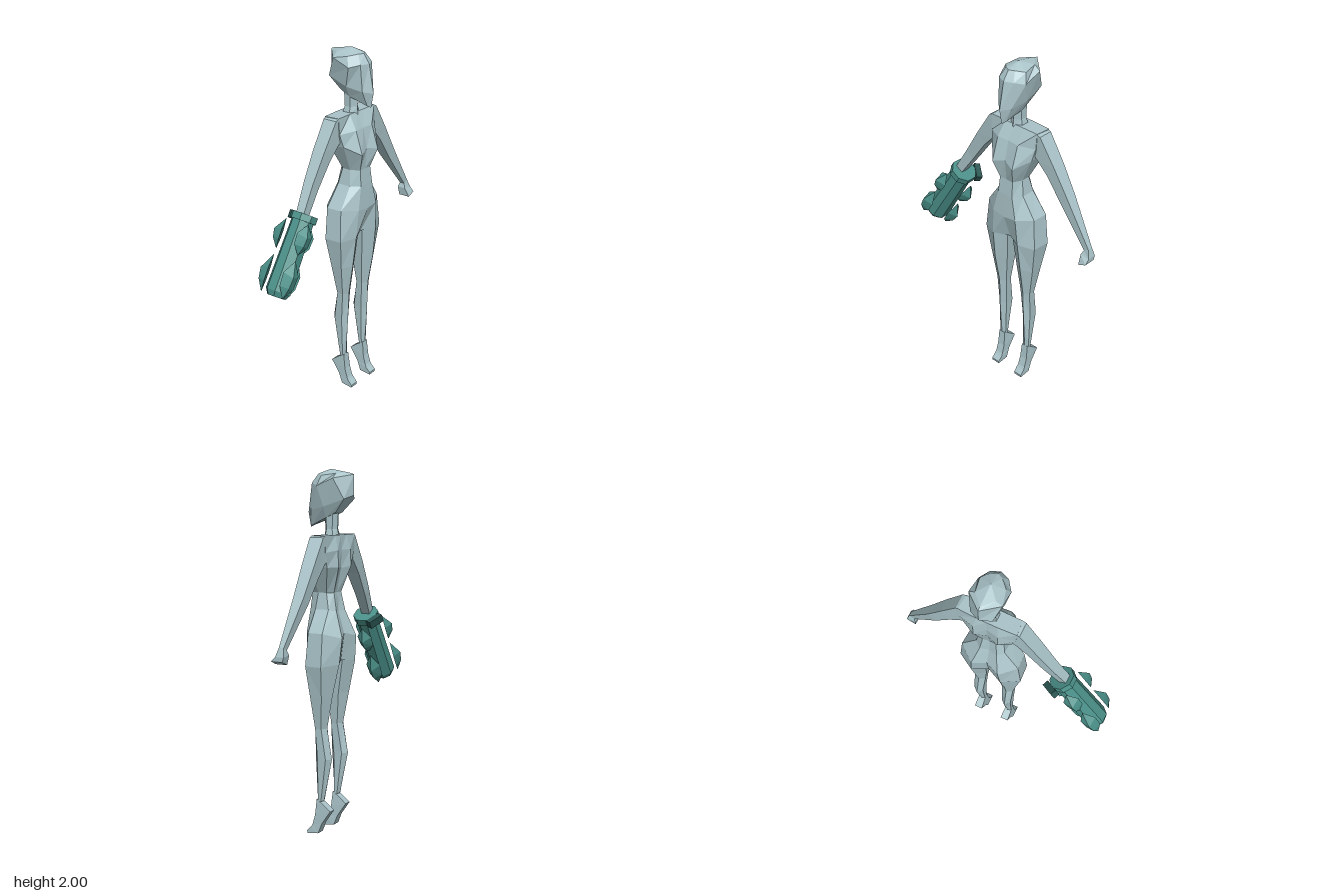
import * as THREE from 'three';
import { ConvexGeometry } from 'three/addons/geometries/ConvexGeometry.js';

const skin = new THREE.MeshStandardMaterial({ color: 0xa9c3c8, flatShading: true });
skin.name = 'pale blue grey';
const teal = new THREE.MeshStandardMaterial({ color: 0x4a8f88, flatShading: true });
teal.name = 'teal';
const darkTeal = new THREE.MeshStandardMaterial({ color: 0x2a5551, flatShading: true });
darkTeal.name = 'dark teal';

// Closed loft through rings of [x, y, z] points, turned to face outward
function loft(rings) {
  const tris = [];
  const centre = (r) => [0, 1, 2].map((k) => r.reduce((s, p) => s + p[k], 0) / r.length);
  const n = rings[0].length;
  const last = rings[rings.length - 1];
  const c0 = centre(rings[0]);
  const c1 = centre(last);
  for (let i = 0; i < n; i++) {
    const j = (i + 1) % n;
    for (let r = 0; r + 1 < rings.length; r++) {
      const [a, b] = [rings[r], rings[r + 1]];
      tris.push([a[i], a[j], b[j]], [a[i], b[j], b[i]]);
    }
    tris.push([c0, rings[0][j], rings[0][i]], [c1, last[i], last[j]]);
  }
  let volume = 0;
  for (const [a, b, c] of tris) {
    volume += a[0] * (b[1] * c[2] - b[2] * c[1])
      + a[1] * (b[2] * c[0] - b[0] * c[2]) + a[2] * (b[0] * c[1] - b[1] * c[0]);
  }
  if (volume < 0) tris.forEach((t) => t.reverse());
  const geo = new THREE.BufferGeometry();
  geo.setAttribute('position', new THREE.Float32BufferAttribute(tris.flat(2), 3));
  geo.computeVertexNormals();
  return geo;
}

// Completes a half section that runs from front centre to back centre
const whole = (half) => [...half, ...half.slice(1, -1).reverse().map(([x, y, z]) => [-x, y, z])];
const flip = (rings, s) => rings.map((r) => r.map(([x, y, z]) => [s * x, y, z]));

function add(parent, name, geo, mat) {
  const mesh = new THREE.Mesh(geo, mat);
  mesh.name = name;
  parent.add(mesh);
  return mesh;
}

// Limb ring from an upper and a lower point with front and back depth
const limb = ([ux, uy, lx, ly, zf, zb]) => [[ux, uy, zf], [ux, uy, zb], [lx, ly, zb], [lx, ly, zf]];

export function createModel() {
  const model = new THREE.Group();
  const body = new THREE.Group();
  body.name = 'body';
  body.position.x = 0.085;
  model.add(body);

  // Torso, from hips up to the flat shoulders
  const hip = [[0, 0.96, 0.06], [0.09, 0.96, 0.1], [0.18, 0.95, 0.06],
    [0.187, 0.95, -0.04], [0.09, 0.96, -0.1], [0, 0.97, -0.06]];
  const torso = [
    hip,
    [[0, 1.11, 0.11], [0.08, 1.12, 0.108], [0.165, 1.13, 0.05], [0.17, 1.13, -0.04], [0.08, 1.1, -0.112], [0, 1.12, -0.08]],
    [[0, 1.25, 0.1], [0.05, 1.25, 0.1], [0.085, 1.25, 0.05], [0.085, 1.25, -0.03], [0.05, 1.24, -0.06], [0, 1.24, -0.045]],
    [[0, 1.34, 0.09], [0.045, 1.34, 0.09], [0.07, 1.34, 0.04], [0.07, 1.34, -0.01], [0.04, 1.34, -0.04], [0, 1.34, -0.035]],
    [[0, 1.46, 0.1], [0.07, 1.44, 0.122], [0.14, 1.49, 0.05], [0.135, 1.48, -0.05], [0.07, 1.48, -0.085], [0, 1.47, -0.06]],
    [[0, 1.57, 0.075], [0.07, 1.57, 0.08], [0.155, 1.56, 0.035], [0.16, 1.56, -0.055], [0.07, 1.57, -0.08], [0, 1.57, -0.065]],
    [[0, 1.65, 0.03], [0.06, 1.65, 0.03], [0.158, 1.65, 0.03], [0.165, 1.65, -0.055], [0.06, 1.65, -0.06], [0, 1.65, -0.06]],
  ];
  add(body, 'torso', loft(torso.map(whole)), skin);

  // Neck
  const neckRing = (y, w, zf, zb) => whole([[0, y, zf], [w, y, zf - 0.025], [w, y, zb + 0.015], [0, y, zb]]);
  add(body, 'neck', loft([neckRing(1.63, 0.045, 0.04, -0.05), neckRing(1.68, 0.033, 0.035, -0.04),
    neckRing(1.8, 0.035, 0.04, -0.045)]), skin);

  // Head with a pointed chin and a swept back crown
  const head = [
    [[0, 1.69, 0.125], [0.015, 1.7, 0.11], [0.04, 1.74, 0.01], [0.038, 1.77, -0.05], [0, 1.77, -0.055]],
    [[0, 1.77, 0.14], [0.045, 1.78, 0.1], [0.068, 1.8, 0.01], [0.06, 1.84, -0.11], [0, 1.86, -0.14]],
    [[0, 1.925, 0.11], [0.05, 1.925, 0.09], [0.088, 1.91, 0.04], [0.09, 1.95, -0.06], [0, 1.97, -0.14]],
    [[0, 1.975, 0.075], [0.03, 1.975, 0.06], [0.07, 1.965, 0.02], [0.055, 1.975, -0.06], [0, 1.977, -0.12]],
    Array(5).fill([0, 2, 0]),
  ];
  add(body, 'head', loft(head.map(whole)), skin);

  // Legs reuse the hip section, slightly parted at the crotch
  const legTop = hip.map(([x, y, z]) => [Math.max(x, 0.018), y, z]);
  const legRing = (y, xi, xo, zf, zb) => {
    const m = (xi + xo) / 2;
    const q = (zf - zb) * 0.25;
    return [[xi, y, zf - q], [m, y, zf], [xo, y, zf - q], [xo, y, zb + q], [m, y, zb], [xi, y, zb + q]];
  };
  const leg = [legTop, legRing(0.78, 0.035, 0.155, 0.08, -0.06), legRing(0.6, 0.055, 0.125, 0.05, -0.025),
    legRing(0.43, 0.064, 0.12, 0.045, -0.055), legRing(0.19, 0.07, 0.112, 0.03, -0.005)];

  // Tiptoe feet: inner x, outer x, top (y, z), sole (y, z)
  const foot = [
    [0.07, 0.112, 0.2, 0.03, 0.18, -0.003],
    [0.066, 0.114, 0.11, 0.04, 0.14, -0.055],
    [0.065, 0.114, 0.055, 0.056, 0.065, -0.003],
    [0.062, 0.116, 0.04, 0.065, 0.008, 0.02],
    [0.064, 0.116, 0.015, 0.09, 0, 0.088],
  ].map(([a, b, yt, zt, ys, zs]) => [[a, yt, zt], [b, yt, zt], [b, ys, zs], [a, ys, zs]]);

  // Arms
  const upperArm = [
    [0.155, 1.65, 0.145, 1.51, 0.03, -0.055],
    [0.178, 1.64, 0.16, 1.5, 0.03, -0.053],
    [0.275, 1.49, 0.225, 1.43, 0.025, -0.05],
    [0.365, 1.34, 0.318, 1.3, 0.02, -0.042],
  ];
  const wrist = [0.515, 1.095, 0.485, 1.08, 0.017, -0.012];
  const stump = [0.455, 1.19, 0.415, 1.165, 0.025, -0.025];
  const hand = [wrist, [0.53, 1.05, 0.475, 1.055, 0.03, -0.02], [0.53, 1.025, 0.482, 1.005, 0.055, -0.012]];

  for (const [side, s] of [['left', 1], ['right', -1]]) {
    add(body, side + 'Leg', loft(flip(leg, s)), skin);
    add(body, side + 'Foot', loft(flip(foot, s)), skin);
    add(body, side + 'Arm', loft(flip([...upperArm, s > 0 ? wrist : stump].map(limb), s)), skin);
  }
  add(body, 'leftHand', loft(hand.map(limb)), skin);

  // Forearm cannon, its local y axis running down the arm
  const cannon = new THREE.Group();
  cannon.name = 'armCannon';
  cannon.position.set(-0.333, 1.168, 0);
  cannon.rotation.z = 2.578;
  model.add(cannon);
  const tube = (name, r0, r1, y0, y1) => {
    const geo = new THREE.CylinderGeometry(r1, r0, y1 - y0, 8).rotateY(Math.PI / 8);
    add(cannon, name, geo, teal).position.y = (y0 + y1) / 2;
  };
  tube('cuff', 0.074, 0.074, -0.018, 0.02);
  tube('barrel', 0.062, 0.07, 0.02, 0.41);
  tube('muzzle', 0.07, 0.052, 0.41, 0.44);

  // Dark block on the cuff
  const block = new THREE.Group();
  block.name = 'cuffBlock';
  block.rotation.y = Math.PI * 2 / 3;
  cannon.add(block);
  add(block, 'cuffBlockBody', new THREE.BoxGeometry(0.035, 0.045, 0.09), darkTeal).position.x = 0.085;

  // Three rows of two floating faceted shards
  const shard = (len, w, h) => new ConvexGeometry([
    [0, -len / 2, 0], [0, len / 2, 0], [0, -len * 0.15, w], [0, -len * 0.15, -w],
    [0, len * 0.2, w * 0.9], [0, len * 0.2, -w * 0.9], [h, -len * 0.08, 0], [h * 0.8, len * 0.2, 0],
  ].map((p) => new THREE.Vector3(...p)));
  for (const angle of [Math.PI, Math.PI / 3, -Math.PI / 3]) {
    const row = new THREE.Group();
    row.name = 'shardRow';
    row.rotation.y = angle;
    cannon.add(row);
    add(row, 'upperShard', shard(0.17, 0.045, 0.045), teal).position.set(0.085, 0.115, 0);
    add(row, 'lowerShard', shard(0.21, 0.045, 0.045), teal).position.set(0.085, 0.335, 0);
  }
  return model;
}
